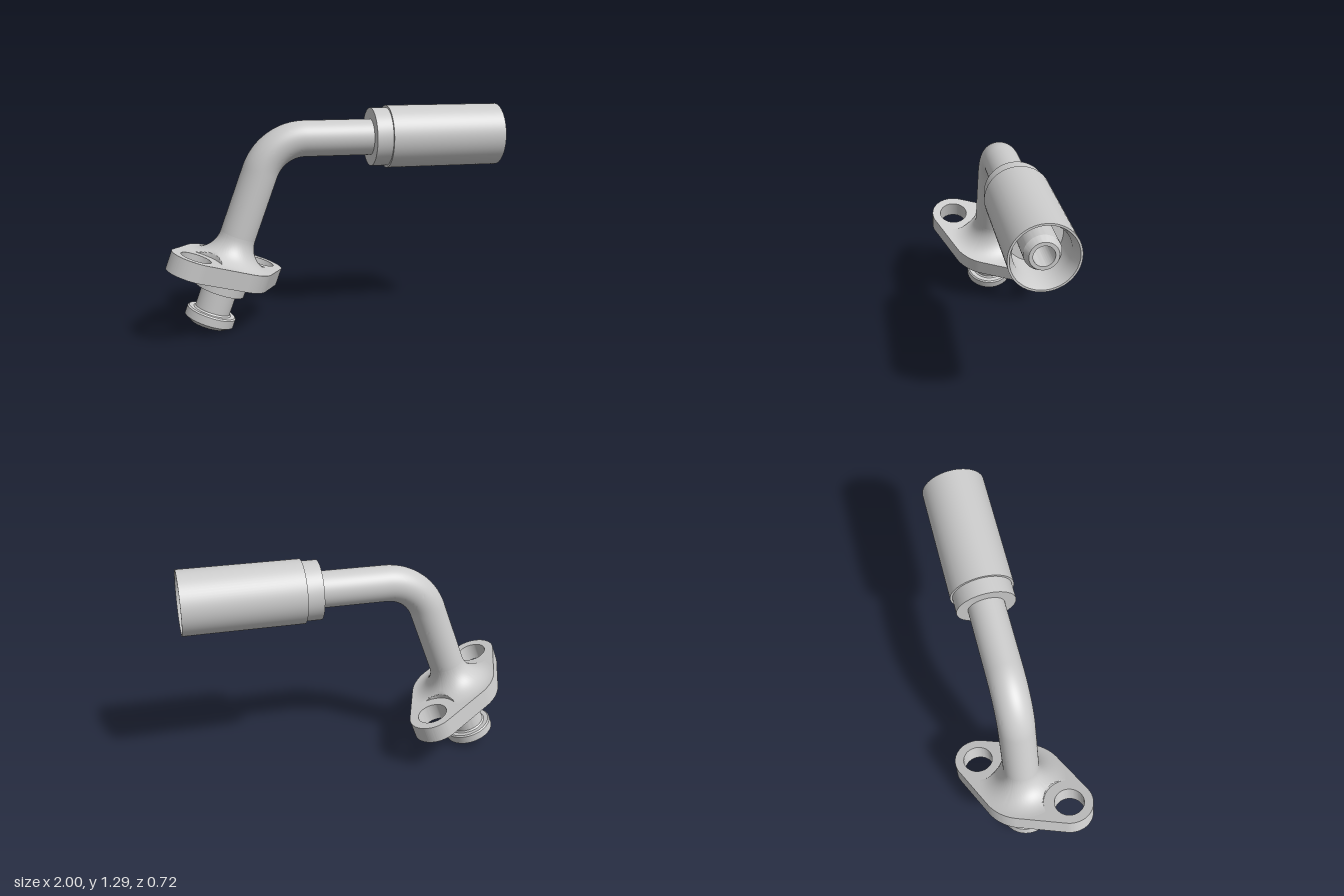
import * as THREE from 'three';
import { toCreasedNormals } from 'three/addons/utils/BufferGeometryUtils.js';

const TILT = THREE.MathUtils.degToRad(20);   // lean of the lower stem
const PIPE_R = 0.105, PIPE_Y = 1.108;
const FLANGE_BOTTOM = 0.297, FLANGE_TOP = 0.403;
const BOLT = 0.314;                          // bolt hole distance from the stem axis

const material = new THREE.MeshStandardMaterial({ color: 0xcccccc });

function part(name, geometry) {
  const mesh = new THREE.Mesh(toCreasedNormals(geometry, 0.45), material);
  mesh.name = name;
  return mesh;
}

function lathe(points, segments = 72) {
  return new THREE.LatheGeometry(points.map(([r, y]) => new THREE.Vector2(r, y)), segments);
}

// Two-bolt plate: small round ends joined by tangents to a wide middle
function flangeGeometry() {
  const endR = 0.14, midR = 0.26, holeR = 0.087;
  const t = Math.acos((midR - endR) / BOLT);
  const shape = new THREE.Shape();
  shape.absarc(BOLT, 0, endR, -t, t);
  shape.absarc(0, 0, midR, t, Math.PI - t);
  shape.absarc(-BOLT, 0, endR, Math.PI - t, Math.PI + t);
  shape.absarc(0, 0, midR, Math.PI + t, 2 * Math.PI - t);
  for (const x of [BOLT, -BOLT]) {
    shape.holes.push(new THREE.Path().absarc(x, 0, holeR, 0, Math.PI * 2, true));
  }
  const g = new THREE.ExtrudeGeometry(shape, {
    depth: FLANGE_TOP - FLANGE_BOTTOM, bevelEnabled: false, curveSegments: 32,
  });
  return g.rotateX(-Math.PI / 2).translate(0, FLANGE_BOTTOM, 0);
}

// Concave flare from plate to stem, cut back by a round spot face at each bolt hole
function filletGeometry() {
  const r = 0.15, spotR = 0.15, profile = [];
  for (let i = 0; i <= 16; i++) {
    const a = (i / 16) * Math.PI / 2;
    profile.push([PIPE_R + r - r * Math.sin(a), FLANGE_TOP + r - r * Math.cos(a)]);
  }
  const g = lathe(profile, 128);
  const p = g.attributes.position;
  for (let i = 0; i < p.count; i++) {
    const x = p.getX(i), z = p.getZ(i), rho = Math.hypot(x, z);
    const across = BOLT * z / rho;
    if (Math.abs(across) >= spotR) continue;
    const limit = BOLT * Math.abs(x) / rho - Math.sqrt(spotR ** 2 - across ** 2);
    if (rho > limit) p.setXYZ(i, x * limit / rho, p.getY(i), z * limit / rho);
  }
  return g;
}

// Bent pipe: leaning straight, 70 degree bend, horizontal straight
function pipeGeometry(base) {
  const bendR = 0.28, turn = Math.PI / 2 - TILT;
  const up = new THREE.Vector3(Math.sin(TILT), Math.cos(TILT), 0);
  const right = new THREE.Vector3(1, 0, 0);
  const corner = base.clone().addScaledVector(up, (PIPE_Y - base.y) / up.y);
  const tangent = bendR * Math.tan(turn / 2);
  const handle = bendR * 4 / 3 * Math.tan(turn / 4);
  const a = corner.clone().addScaledVector(up, -tangent);
  const b = corner.clone().addScaledVector(right, tangent);
  const path = new THREE.CurvePath();
  path.add(new THREE.LineCurve3(base.clone().addScaledVector(up, FLANGE_TOP - 0.02), a));
  path.add(new THREE.CubicBezierCurve3(
    a, a.clone().addScaledVector(up, handle), b.clone().addScaledVector(right, -handle), b));
  path.add(new THREE.LineCurve3(b, new THREE.Vector3(0.24, PIPE_Y, 0)));
  return new THREE.TubeGeometry(path, 110, PIPE_R, 56, false);
}

export function createModel() {
  const model = new THREE.Group();
  model.name = 'flangedHoseFitting';
  const base = new THREE.Vector3(-0.758, 0.036, 0);

  // Leaning lower assembly
  const lower = new THREE.Group();
  lower.name = 'flangeEnd';
  lower.position.copy(base);
  lower.rotation.z = -TILT;
  model.add(lower);

  // Spigot with bore, end collar, neck and shoulder under the plate
  lower.add(part('spigot', lathe([
    [0, 0.3], [0.05, 0.3], [0.05, 0], [0.105, 0], [0.146, 0.026], [0.146, 0.075],
    [0.138, 0.083], [0.112, 0.083], [0.104, 0.092], [0.104, 0.217], [0.148, 0.217], [0.148, 0.3],
  ])));

  // Plate and flare, with the bolt line turned 45 degrees
  const plate = new THREE.Group();
  plate.name = 'boltPlate';
  plate.rotation.y = Math.PI / 4;
  plate.add(part('flange', flangeGeometry()), part('flangeFillet', filletGeometry()));
  lower.add(plate);

  model.add(part('bentPipe', pipeGeometry(base)));

  // Crimp sleeve with collar, open socket and hollow inner nipple
  const sleeve = part('hoseSleeve', lathe([
    [0.09, 0.22], [0.17, 0.22], [0.17, 0.315], [0.183, 0.315], [0.183, 1], [0.172, 1],
    [0.147, 0.93], [0.147, 0.75], [0.095, 0.75], [0.095, 0.94], [0.075, 0.98],
    [0.055, 0.98], [0.055, 0.5], [0, 0.5],
  ]).rotateZ(-Math.PI / 2));
  sleeve.position.y = PIPE_Y;
  model.add(sleeve);

  return model;
}
